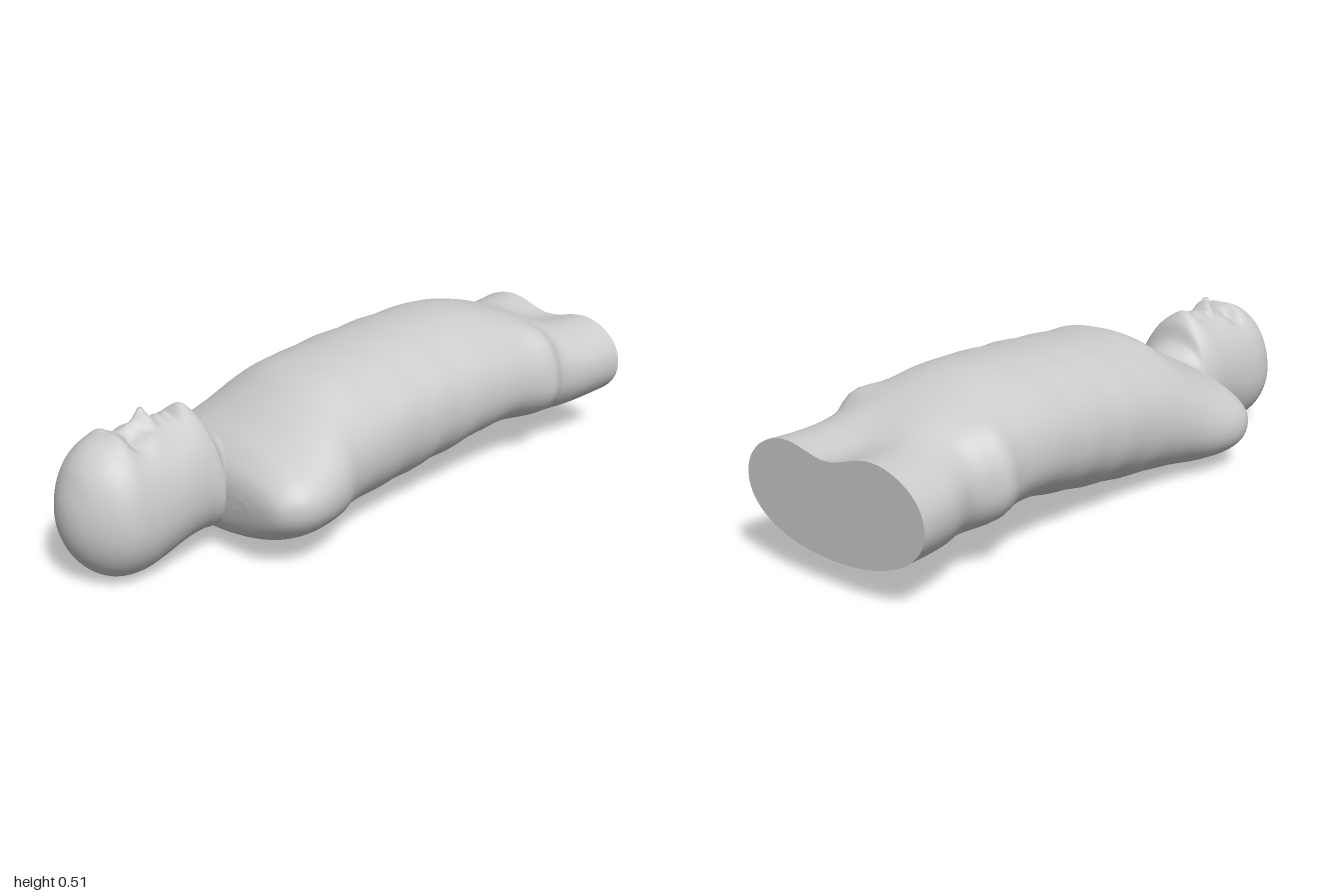
import * as THREE from 'three';

const material = new THREE.MeshStandardMaterial({ color: 0xcccccc, roughness: 0.8 });

// Smooth interpolation of one value through p1..p2
function spline(p0, p1, p2, p3, t) {
  const a = (p2 - p0) / 2, b = (p3 - p1) / 2, t2 = t * t, t3 = t2 * t;
  return p1 * (2 * t3 - 3 * t2 + 1) + a * (t3 - 2 * t2 + t) + p2 * (3 * t2 - 2 * t3) + b * (t3 - t2);
}

function bump(x, z, cx, cz, sx, sz) {
  return Math.exp(-(((x - cx) / sx) ** 2) - (((z - cz) / sz) ** 2));
}

// Rings along z from rows [z, centreX, halfWidth, bottom, widestY, top, topPower, bottomPower, roll]
function makeRings(rows, steps, sides, sculpt) {
  const rings = [], n = rows.length - 1;
  for (let i = 0; i <= n * steps; i++) {
    const k = Math.min(Math.floor(i / steps), n - 1), t = i / steps - k;
    const s = rows[0].map((_, c) => spline(
      rows[Math.max(k - 1, 0)][c], rows[k][c], rows[k + 1][c], rows[Math.min(k + 2, n)][c], t));
    const [z, cx, hw, lo, mid, hi, pTop, pLow, roll] = s;
    const ring = [];
    for (let j = 0; j < sides; j++) {
      const a = (j / sides) * Math.PI * 2, c = Math.cos(a), sn = Math.sin(a);
      const e = 2 / (sn > 0 ? pTop : pLow);
      const dx = Math.sign(c) * Math.abs(c) ** e * Math.max(hw, 0.001);
      const dy = Math.sign(sn) * Math.abs(sn) ** e * (sn > 0 ? hi - mid : mid - lo);
      const p = new THREE.Vector3(cx + dx, mid + dy + roll * dx, z);
      sculpt(p, sn, c);
      ring.push(p);
    }
    rings.push(ring);
  }
  return rings;
}

// Closed-round skin with a rounded tip at the last ring
function skin(rings, name) {
  const sides = rings[0].length, points = rings.flat(), index = [];
  for (let i = 0; i < rings.length - 1; i++) {
    for (let j = 0; j < sides; j++) {
      const k = (j + 1) % sides, r = i * sides, q = r + sides;
      index.push(r + j, r + k, q + k, r + j, q + k, q + j);
    }
  }
  const last = (rings.length - 1) * sides, tip = new THREE.Vector3();
  rings.at(-1).forEach(p => tip.addScaledVector(p, 1 / sides));
  points.push(tip);
  for (let j = 0; j < sides; j++) index.push(points.length - 1, last + j, last + (j + 1) % sides);
  const geometry = new THREE.BufferGeometry().setFromPoints(points);
  geometry.setIndex(index);
  geometry.computeVertexNormals();
  const mesh = new THREE.Mesh(geometry, material);
  mesh.name = name;
  return mesh;
}

// Flat cut face looking towards -z
function cutFace(ring, name) {
  const centre = new THREE.Vector3(), index = [];
  ring.forEach(p => centre.addScaledVector(p, 1 / ring.length));
  ring.forEach((_, j) => index.push(ring.length, (j + 1) % ring.length, j));
  const geometry = new THREE.BufferGeometry().setFromPoints([...ring, centre]);
  geometry.setIndex(index);
  geometry.computeVertexNormals();
  const mesh = new THREE.Mesh(geometry, material);
  mesh.name = name;
  return mesh;
}

export function createModel() {
  const model = new THREE.Group();
  model.name = 'recliningBust';

  // Torso from the cut thighs up to the shoulders
  const torsoRows = [
    [-1.00, 0.00, 0.33, 0.09, 0.26, 0.43, 2.2, 2.1, 0],
    [-0.86, 0.005, 0.315, 0.08, 0.26, 0.425, 2.2, 2.1, 0],
    [-0.75, 0.01, 0.29, 0.08, 0.26, 0.45, 2.2, 2.1, 0],
    [-0.65, 0.00, 0.305, 0.09, 0.27, 0.48, 2.2, 2.1, 0],
    [-0.48, 0.00, 0.305, 0.11, 0.29, 0.515, 2.1, 2.2, 0],
    [-0.25, -0.005, 0.305, 0.07, 0.28, 0.51, 2.1, 2.2, 0.01],
    [0.00, -0.01, 0.315, 0.035, 0.26, 0.49, 2.1, 2.2, 0.03],
    [0.20, -0.01, 0.333, 0.025, 0.22, 0.465, 2.0, 2.2, 0.06],
    [0.31, 0.00, 0.365, 0.02, 0.19, 0.415, 2.0, 2.2, 0.08],
    [0.41, 0.00, 0.383, 0.02, 0.18, 0.36, 2.0, 2.2, 0.08],
    [0.48, 0.00, 0.372, 0.03, 0.18, 0.325, 2.1, 2.2, 0.08],
    [0.53, 0.00, 0.335, 0.06, 0.18, 0.28, 2.2, 2.2, 0.08],
    [0.55, 0.00, 0.285, 0.10, 0.18, 0.24, 2.2, 2.2, 0.08],
    [0.557, 0.00, 0.20, 0.15, 0.18, 0.20, 2.2, 2.2, 0.08],
  ];
  const torso = makeRings(torsoRows, 6, 72, (p, s, c) => {
    const { x, z } = p, up = Math.max(s, 0), down = Math.max(-s, 0);
    // hollow between the thighs
    p.y -= 0.06 * up * bump(x, z, 0.02, -1.0, 0.13, 0.2);
    // hip points
    p.y += 0.05 * up * (bump(x, z, 0.27, -0.66, 0.07, 0.07) + 0.6 * bump(x, z, -0.27, -0.66, 0.07, 0.07));
    p.x += 0.025 * c * bump(Math.abs(x), z, 0.31, -0.66, 0.1, 0.05);
    // chest edge and soft waist folds
    p.y += 0.008 * up * bump(Math.abs(x), z, 0.15, 0.18, 0.09, 0.05);
    p.y += 0.005 * Math.sin(z * 38 + x * 9) * Math.abs(c) * bump(0, z, 0, -0.15, 1, 0.25);
    // spine hollow
    p.y += 0.015 * down * bump(x, z, 0, -0.25, 0.06, 0.4);
  });
  model.add(skin(torso, 'torso'), cutFace(torso[0], 'thighCut'));

  // Neck and head as one skin, crown towards the front
  const headRows = [
    [0.36, -0.03, 0.15, 0.08, 0.20, 0.33, 2.0, 2.0, 0],
    [0.48, -0.03, 0.14, 0.06, 0.19, 0.325, 2.0, 2.0, 0],
    [0.535, -0.03, 0.14, 0.055, 0.20, 0.355, 2.0, 2.0, 0],
    [0.56, -0.03, 0.145, 0.06, 0.21, 0.42, 1.85, 2.1, 0],
    [0.595, -0.035, 0.152, 0.06, 0.22, 0.44, 1.85, 2.1, 0],
    [0.66, -0.035, 0.158, 0.05, 0.22, 0.425, 2.0, 2.1, 0],
    [0.74, -0.037, 0.165, 0.02, 0.20, 0.418, 2.1, 2.0, 0],
    [0.80, -0.038, 0.17, 0.005, 0.19, 0.42, 2.1, 2.0, 0],
    [0.86, -0.038, 0.17, 0.008, 0.19, 0.425, 2.1, 2.0, 0],
    [0.91, -0.038, 0.155, 0.028, 0.195, 0.405, 2.0, 2.0, 0],
    [0.955, -0.038, 0.115, 0.07, 0.20, 0.36, 2.0, 2.0, 0],
    [0.985, -0.038, 0.068, 0.125, 0.205, 0.295, 2.0, 2.0, 0],
    [0.997, -0.038, 0.03, 0.17, 0.208, 0.25, 2.0, 2.0, 0],
    [1.00, -0.038, 0.002, 0.206, 0.208, 0.21, 2.0, 2.0, 0],
  ];
  const head = makeRings(headRows, 8, 128, (p, s) => {
    if (s <= 0) return;
    const x = p.x + 0.043, ax = Math.abs(x), z = p.z;
    let h = 0;
    // nose bridge, tip and nostril wings
    h += 0.02 * bump(x, z, 0, 0.765, 0.02, 0.035);
    h += 0.052 * bump(x, z, 0, 0.725, 0.022, 0.022);
    h += 0.022 * bump(ax, z, 0.026, 0.71, 0.014, 0.014);
    // brow, eye sockets and lids
    h += 0.012 * bump(ax, z, 0.05, 0.835, 0.05, 0.022);
    h -= 0.026 * bump(ax, z, 0.055, 0.79, 0.035, 0.022);
    h += 0.011 * bump(ax, z, 0.057, 0.782, 0.018, 0.012);
    // cheeks
    h += 0.008 * bump(ax, z, 0.075, 0.735, 0.03, 0.035);
    // lips, mouth line and chin
    h += 0.015 * bump(x, z, 0, 0.668, 0.035, 0.012);
    h += 0.012 * bump(x, z, 0, 0.642, 0.03, 0.01);
    h -= 0.008 * bump(x, z, 0, 0.655, 0.045, 0.005);
    h -= 0.012 * bump(x, z, 0, 0.625, 0.04, 0.01);
    h += 0.012 * bump(x, z, 0, 0.592, 0.04, 0.02);
    p.y += h * Math.min(1, s * 2);
  });
  model.add(skin(head, 'headAndNeck'));
  return model;
}
